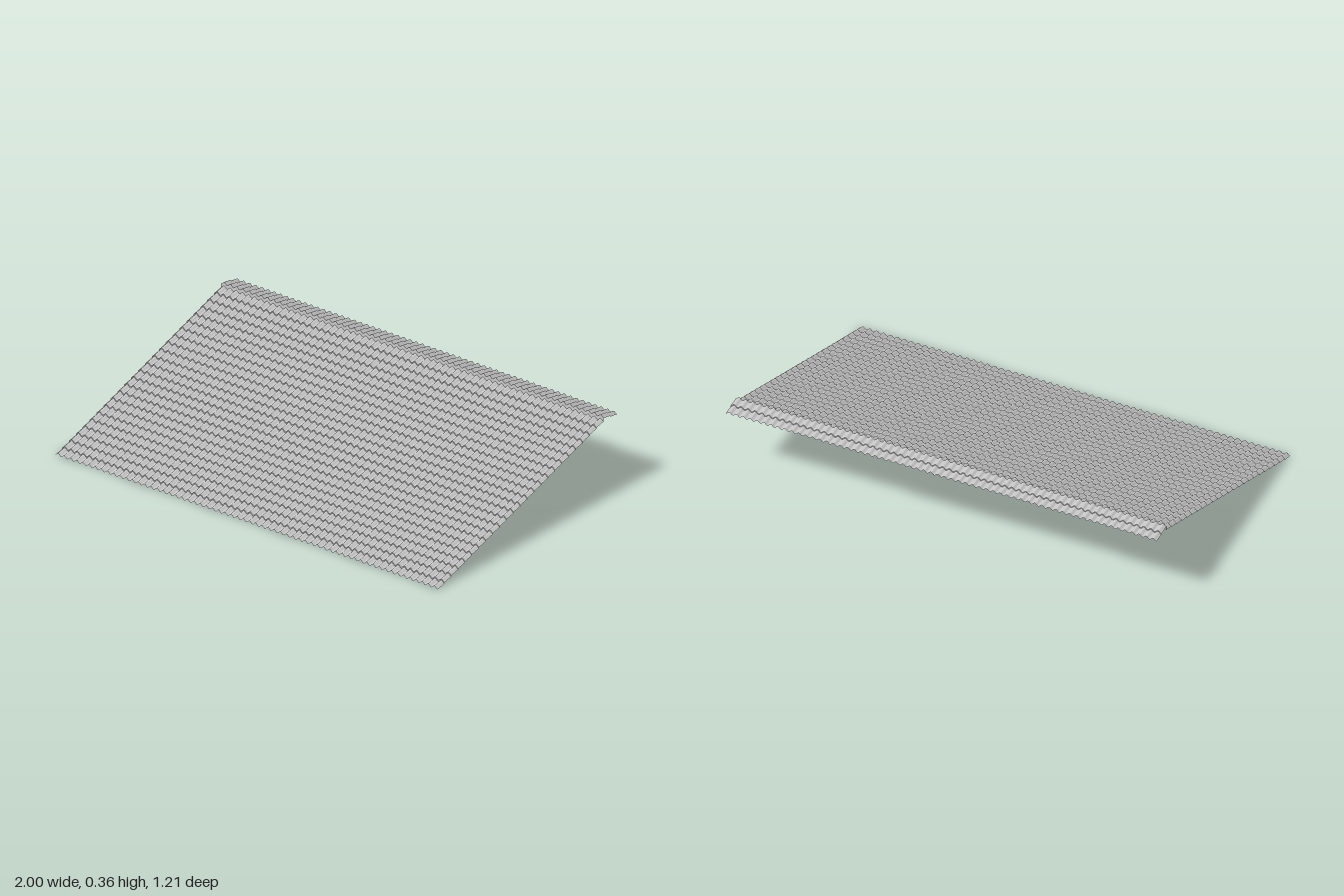
import * as THREE from 'three';
import { mergeGeometries } from 'three/addons/utils/BufferGeometryUtils.js';

const WAVES = 62, SEGMENTS = 8, HEIGHT = 0.011;
const material = new THREE.MeshStandardMaterial({ color: 0xcccccc, side: THREE.DoubleSide });

// Corrugated strip across the full width, from the front edge [z, y] to the back edge
function strip([z0, y0], [z1, y1]) {
  const geometry = new THREE.PlaneGeometry(2, 1, WAVES * SEGMENTS, 1);
  const pos = geometry.attributes.position;
  for (let i = 0; i < pos.count; i++) {
    const x = pos.getX(i);
    const wave = HEIGHT * (0.5 - 0.5 * Math.cos((x + 1) * Math.PI * WAVES));
    const back = pos.getY(i) > 0;
    pos.setXYZ(i, x, (back ? y1 : y0) + wave, back ? z1 : z0);
  }
  geometry.computeVertexNormals();
  return geometry;
}

// Join successive profile points, each span keeping its own crisp edges
function sheet(name, profile) {
  const strips = profile.slice(1).map((point, i) => strip(profile[i], point));
  const mesh = new THREE.Mesh(mergeGeometries(strips), material);
  mesh.name = name;
  return mesh;
}

export function createModel() {
  const group = new THREE.Group();
  group.name = 'tiledRoof';

  // Main slope: rows of tiles, each lapping over the row below it
  const rows = 24, depth = 1.118 / rows, rise = 0.334 / rows, lap = 0.005;
  const slope = [];
  for (let i = 0; i < rows; i++) {
    const z = 0.604 - i * depth, y = i * rise;
    slope.push([z, y], [z - depth, y + rise - lap]);
  }
  group.add(sheet('frontSlope', slope));

  // Raised ridge step and the short two-row slope behind it
  group.add(sheet('ridgeStep', [slope[slope.length - 1], [-0.514, 0.346]]));
  group.add(sheet('backSlope', [
    [-0.514, 0.346], [-0.559, 0.338], [-0.559, 0.334], [-0.604, 0.327],
  ]));
  return group;
}
